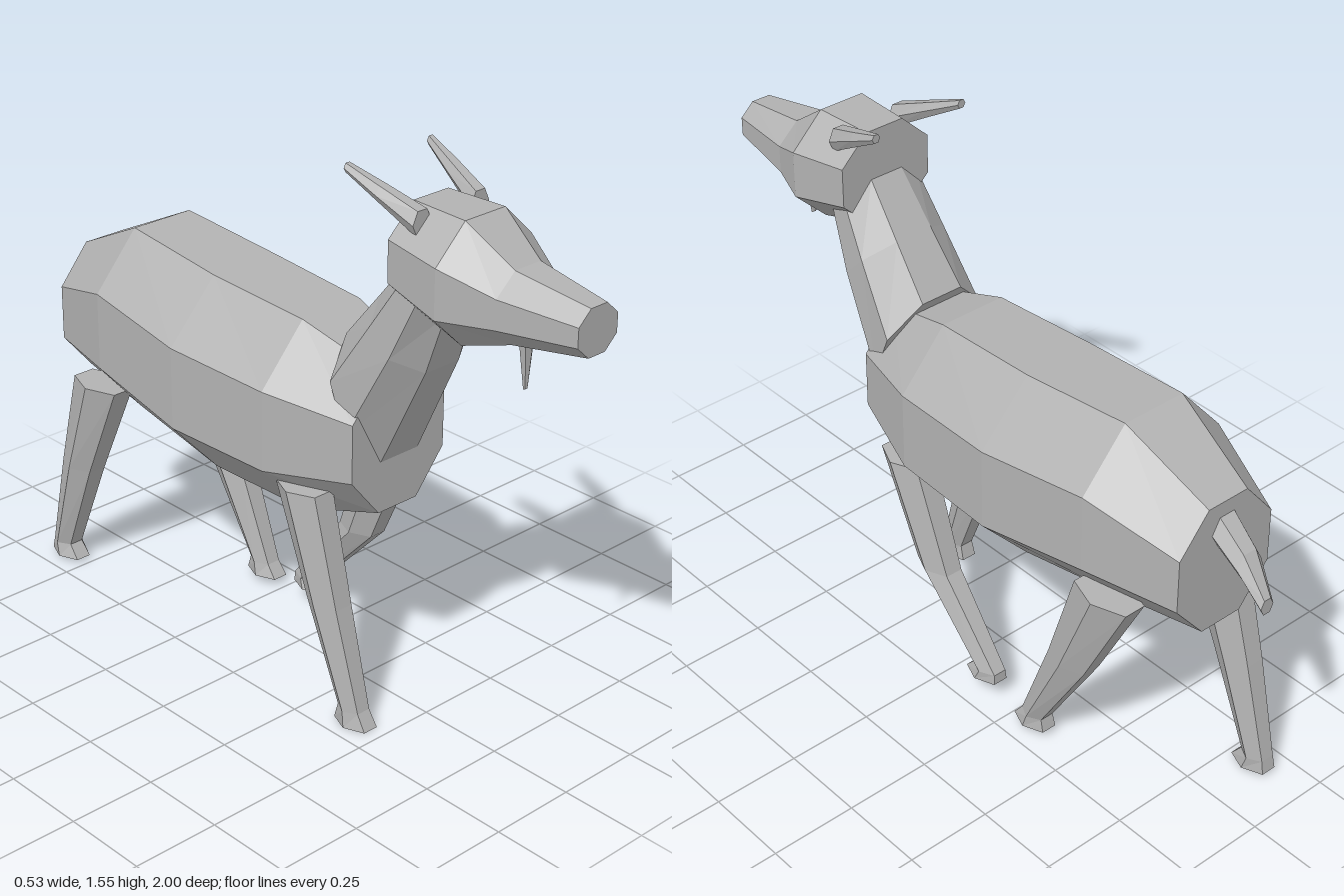
import * as THREE from 'three';

const grey = new THREE.MeshStandardMaterial({ color: 0xb2b2b2, flatShading: true });
grey.name = 'plain grey';

// Lofts n-sided rings into a closed solid. Each ring is [x, y, z, halfWidth, vy, vz]:
// a centre, the half size along x, and the other half axis as a (y, z) vector.
function loft(name, n, rings) {
  const octagon = n === 8;
  const offset = octagon ? Math.PI / 8 : 0;
  const su = octagon ? 1 / Math.cos(Math.PI / 8) : 1;
  const sv = octagon ? su : 1 / Math.sin(Math.PI / 3);
  const points = rings.map(([x, y, z, w, vy, vz]) =>
    Array.from({ length: n }, (_, i) => {
      const a = offset + (i / n) * Math.PI * 2;
      const c = Math.cos(a) * su, s = Math.sin(a) * sv;
      return [x + c * w, y + s * vy, z + s * vz];
    }));

  // keep faces outward whichever way the rings advance
  const first = rings[0], last = rings[rings.length - 1];
  const flip = (last[2] - first[2]) * first[4] - (last[1] - first[1]) * first[5] < 0;
  const pos = [];
  const tri = (a, b, c) => (flip ? pos.push(...a, ...c, ...b) : pos.push(...a, ...b, ...c));

  for (let r = 0; r < points.length - 1; r++) {
    for (let i = 0; i < n; i++) {
      const j = (i + 1) % n;
      const a = points[r][i], b = points[r][j], c = points[r + 1][j], d = points[r + 1][i];
      tri(a, b, c);
      tri(a, c, d);
    }
  }
  const start = points[0], end = points[points.length - 1];
  for (let i = 1; i < n - 1; i++) {
    tri(start[0], start[i + 1], start[i]);
    tri(end[0], end[i], end[i + 1]);
  }

  const geometry = new THREE.BufferGeometry();
  geometry.setAttribute('position', new THREE.Float32BufferAttribute(pos, 3));
  geometry.computeVertexNormals();
  const mesh = new THREE.Mesh(geometry, grey);
  mesh.name = name;
  return mesh;
}

// Upright ring facing z, from its lowest and highest y
const upright = (x, z, low, high, w) => [x, (low + high) / 2, z, w, (high - low) / 2, 0];

// Tilted ring through a front and a back point given as (z, y)
const tilted = ([fz, fy], [bz, by], w) =>
  [0.003, (fy + by) / 2, (fz + bz) / 2, w, (by - fy) / 2, (bz - fz) / 2];

// Hexagonal leg: joints are [y, z, halfWidth, halfDepth] from the top down
const leg = (name, side, joints) =>
  loft(name, 6, joints.map(([y, z, w, d]) => [side * (0.17 + y * 0.006), y, z, w, 0, d]));

export function createModel() {
  const model = new THREE.Group();
  model.name = 'goat';

  // Trunk, rump to chest
  model.add(loft('body', 8, [
    upright(0, -0.83, 0.597, 0.98, 0.16),
    upright(0, -0.565, 0.567, 1.11, 0.237),
    upright(0, -0.22, 0.508, 1.08, 0.264),
    upright(0, 0.12, 0.508, 1.06, 0.245),
    upright(0, 0.375, 0.583, 0.985, 0.165),
  ]));

  // Neck
  model.add(loft('neck', 8, [
    tilted([0.376, 0.73], [0.243, 1.05], 0.16),
    tilted([0.52, 1.03], [0.355, 1.19], 0.142),
    tilted([0.575, 1.2], [0.465, 1.33], 0.125),
  ]));

  // Head, back of the skull to the muzzle
  model.add(loft('head', 8, [
    upright(0.005, 0.465, 1.2, 1.475, 0.145),
    upright(0.007, 0.645, 1.15, 1.475, 0.168),
    upright(0.015, 0.78, 1.187, 1.38, 0.108),
    upright(0.02, 1.0, 1.22, 1.347, 0.069),
  ]));

  // Horns sweep up, back and outward
  for (const side of [-1, 1]) {
    model.add(loft(side > 0 ? 'leftHorn' : 'rightHorn', 6, [
      [0.005 + side * 0.1, 1.445, 0.535, 0.032, 0.034, 0],
      [0.003 + side * 0.123, 1.497, 0.425, 0.025, 0.022, 0],
      [side * 0.143, 1.543, 0.325, 0.013, 0.012, 0],
    ]));
  }

  // Beard, thin from front to back
  model.add(loft('beard', 6, [
    [0.01, 1.2, 0.79, 0.028, 0, 0.009],
    [0.005, 1.067, 0.797, 0.008, 0, 0.003],
  ]));

  // Tail
  model.add(loft('tail', 6, [
    [0, 0.897, -0.82, 0.05, 0.046, 0],
    [0.01, 0.838, -0.92, 0.042, 0.038, 0],
    [0.024, 0.762, -1.0, 0.022, 0.022, 0],
  ]));

  // Legs in mid stride
  model.add(leg('leftFrontLeg', 1, [
    [0.64, 0.19, 0.065, 0.075],
    [0.33, 0.068, 0.052, 0.062],
    [0.09, -0.14, 0.04, 0.043],
    [0.06, -0.127, 0.045, 0.058],
  ]));
  model.add(leg('rightFrontLeg', -1, [
    [0.64, 0.205, 0.065, 0.075],
    [0.33, 0.3, 0.056, 0.056],
    [0.045, 0.395, 0.042, 0.038],
    [0, 0.403, 0.046, 0.058],
  ]));
  model.add(leg('leftHindLeg', 1, [
    [0.64, -0.605, 0.065, 0.095],
    [0.34, -0.478, 0.055, 0.068],
    [0.06, -0.338, 0.042, 0.038],
    [0.022, -0.328, 0.046, 0.058],
  ]));
  model.add(leg('rightHindLeg', -1, [
    [0.64, -0.635, 0.065, 0.09],
    [0.34, -0.745, 0.055, 0.062],
    [0.05, -0.84, 0.042, 0.038],
    [0.01, -0.828, 0.046, 0.058],
  ]));

  return model;
}
